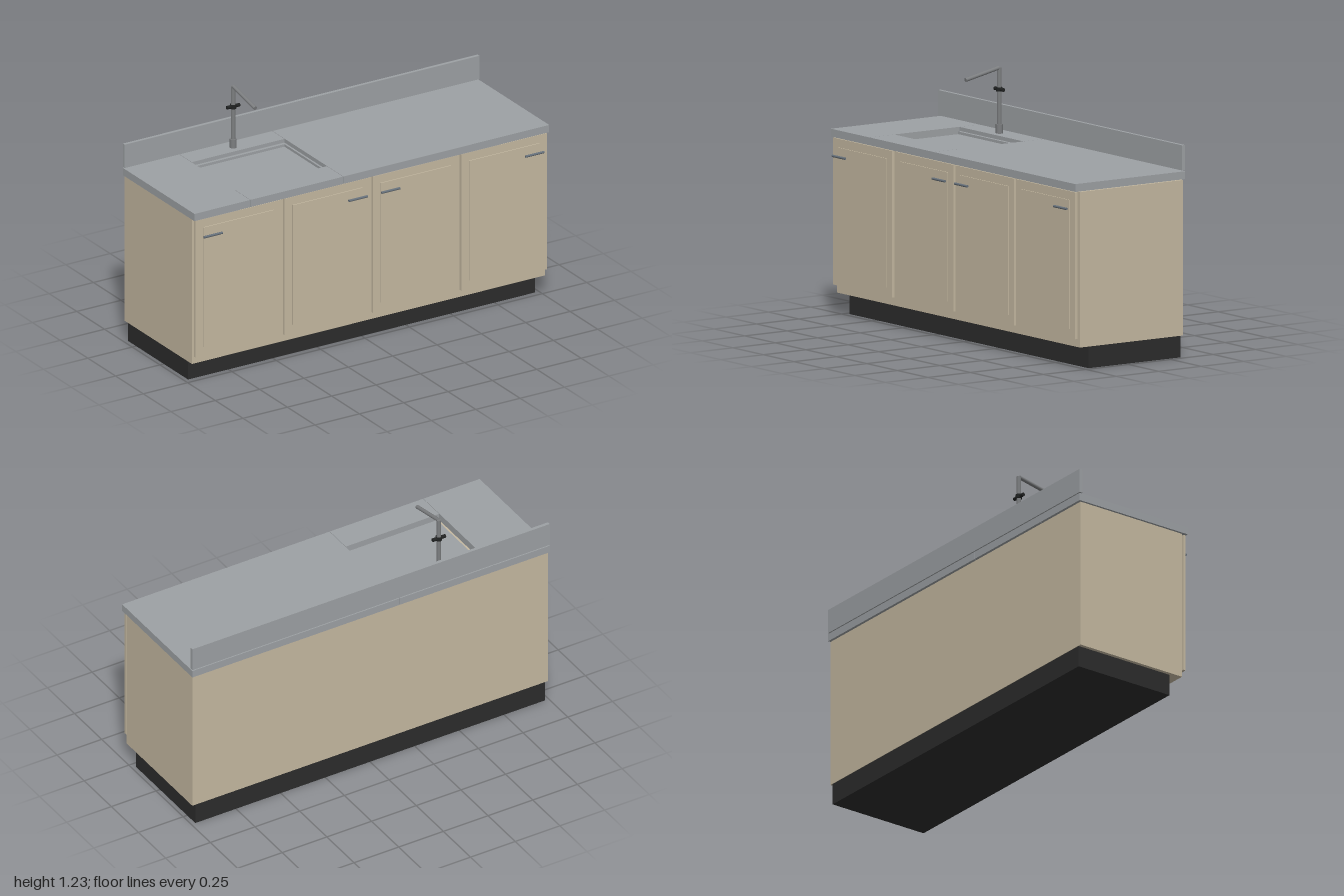
import * as THREE from 'three';

const mat = (name, color) => new THREE.MeshStandardMaterial({ name, color });

export function createModel() {
  const root = new THREE.Group();
  root.name = 'kitchenSinkUnit';

  const wood = mat('beigeWood', 0xc5b9a1);
  const stone = mat('greyWorktop', 0x9da1a4);
  const plinthMat = mat('darkPlinth', 0x2c2c2c);
  const steel = mat('steel', 0x7c7e80);
  const handleMat = mat('blueGreySteel', 0x66707a);
  const black = mat('blackFitting', 0x202222);

  const add = (name, geometry, material, parent = root) => {
    const mesh = new THREE.Mesh(geometry, material);
    mesh.name = name;
    parent.add(mesh);
    return mesh;
  };

  // Box given by its limits on each axis
  const block = (name, material, [x0, x1], [y0, y1], [z0, z1], parent = root) => {
    const mesh = add(name, new THREE.BoxGeometry(x1 - x0, y1 - y0, z1 - z0), material, parent);
    mesh.position.set((x0 + x1) / 2, (y0 + y1) / 2, (z0 + z1) / 2);
    return mesh;
  };

  // Round bar between two points
  const rod = (name, material, a, b, radius, parent = root) => {
    const from = new THREE.Vector3(...a);
    const dir = new THREE.Vector3(...b).sub(from);
    const mesh = add(name, new THREE.CylinderGeometry(radius, radius, dir.length(), 20), material, parent);
    mesh.position.copy(from).addScaledVector(dir, 0.5);
    mesh.quaternion.setFromUnitVectors(new THREE.Vector3(0, 1, 0), dir.normalize());
    return mesh;
  };

  // Plinth and cabinet body
  block('plinth', plinthMat, [-0.978, 0.978], [0, 0.107], [-0.325, 0.219]);
  block('cabinetBody', wood, [-0.995, 0.995], [0.108, 0.862], [-0.326, 0.281]);

  // Four doors with a raised panel and a bar handle each
  const handleSide = [-1, 1, -1, 1];
  [-0.75, -0.247, 0.251, 0.749].forEach((x, i) => {
    const door = new THREE.Group();
    door.name = 'door' + (i + 1);
    door.position.x = x;
    root.add(door);
    block('doorLeaf', wood, [-0.241, 0.241], [0.15, 0.862], [0.292, 0.306], door);
    block('doorPanel', wood, [-0.198, 0.198], [0.195, 0.82], [0.306, 0.311], door);
    const hx = handleSide[i] * 0.157;
    rod('doorHandle', handleMat, [hx - 0.052, 0.78, 0.332], [hx + 0.052, 0.78, 0.332], 0.006, door);
  });

  // Worktop in sections around the sink opening
  const top = [0.866, 0.904];
  block('worktopLeft', stone, [-1, -0.686], top, [-0.335, 0.312]);
  block('worktopRight', stone, [-0.16, 1], top, [-0.335, 0.312]);
  block('worktopSinkFront', stone, [-0.684, -0.162], top, [0.165, 0.312]);
  block('worktopSinkBack', stone, [-0.684, -0.162], top, [-0.335, -0.218]);
  block('backsplash', stone, [-1, 1], [0.909, 1.031], [-0.335, -0.318]);

  // Shallow sink floor with low ledges
  block('sinkFloor', stone, [-0.672, -0.162], [0.862, 0.872], [-0.218, 0.165]);
  block('sinkBackLedge', stone, [-0.672, -0.162], [0.872, 0.885], [-0.218, -0.202]);
  block('sinkSideLedge', stone, [-0.172, -0.162], [0.872, 0.885], [-0.202, 0.165]);

  // Tap
  const tap = new THREE.Group();
  tap.name = 'tap';
  tap.position.set(-0.422, 0, -0.264);
  root.add(tap);
  rod('tapBase', steel, [0, 0.904, 0], [0, 0.949, 0], 0.017, tap);
  rod('tapColumn', steel, [0, 0.949, 0], [0, 1.224, 0], 0.011, tap);
  rod('tapSpout', steel, [0, 1.222, 0.003], [0, 1.181, 0.199], 0.0095, tap);
  rod('tapCollar', black, [0, 1.108, 0], [0, 1.128, 0], 0.016, tap);
  rod('tapLever', black, [-0.036, 1.118, 0], [0.036, 1.118, 0], 0.009, tap);

  return root;
}
